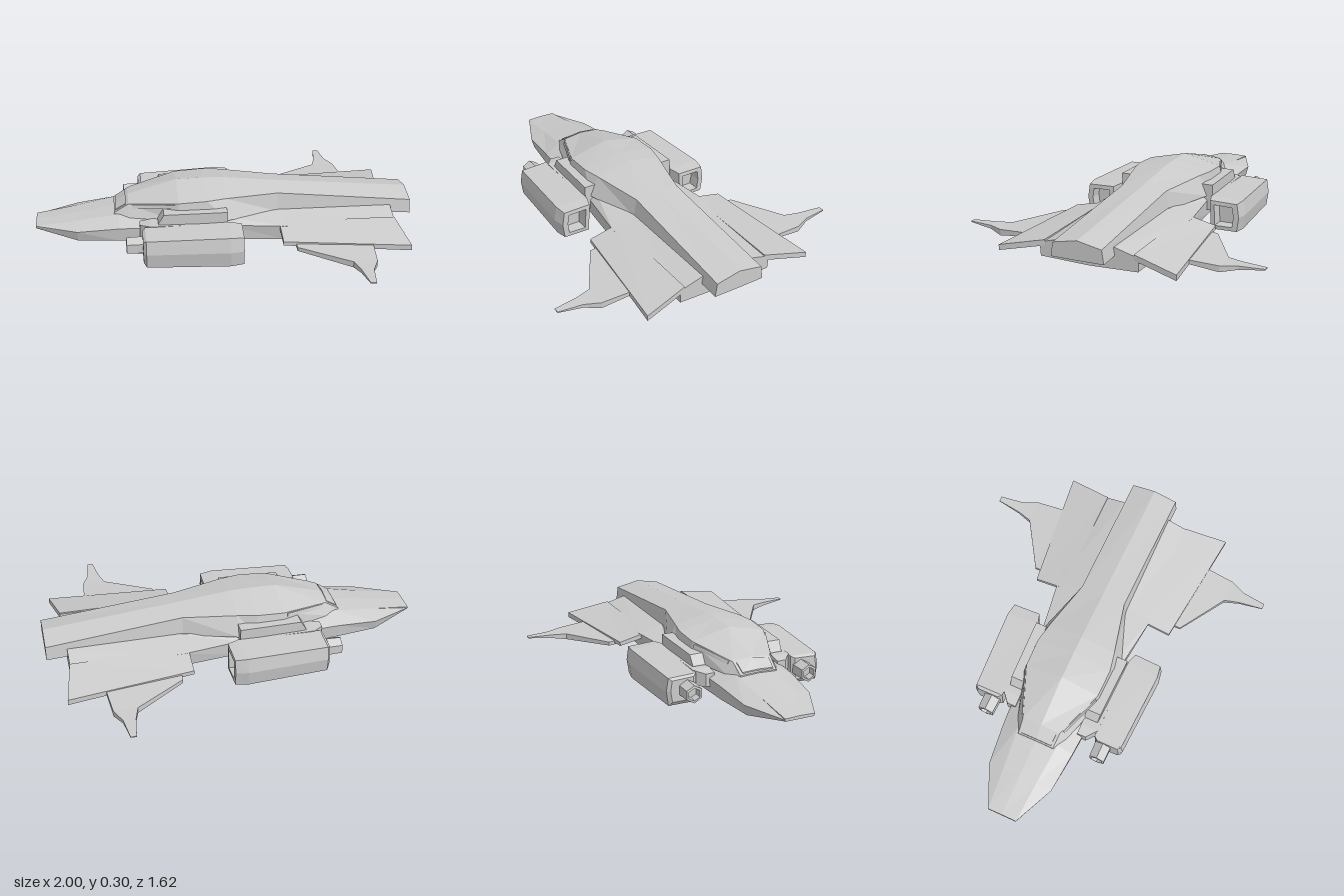
import * as THREE from 'three';

const material = new THREE.MeshStandardMaterial({ color: 0xcccccc, flatShading: true, side: THREE.DoubleSide });

// Skin a row of equal-sized rings of [x, y, z] points and cap both ends; side -1 mirrors in z.
function loft(name, rings, side = 1) {
  const R = rings.map(r => {
    const q = r.map(([x, y, z]) => new THREE.Vector3(x, y, z * side));
    return side < 0 ? q.reverse() : q;
  });
  const pos = [];
  const tri = (...v) => v.forEach(p => pos.push(p.x, p.y, p.z));
  const n = R[0].length;
  for (let i = 0; i < R.length - 1; i++) {
    for (let j = 0; j < n; j++) {
      const k = (j + 1) % n;
      tri(R[i][j], R[i][k], R[i + 1][k]);
      tri(R[i][j], R[i + 1][k], R[i + 1][j]);
    }
  }
  const first = R[0], last = R[R.length - 1];
  for (let j = 1; j < n - 1; j++) {
    tri(first[0], first[j + 1], first[j]);
    tri(last[0], last[j], last[j + 1]);
  }
  const geo = new THREE.BufferGeometry();
  geo.setAttribute('position', new THREE.Float32BufferAttribute(pos, 3));
  geo.computeVertexNormals();
  const mesh = new THREE.Mesh(geo, material);
  mesh.name = name;
  return mesh;
}

// Symmetric ring at x: ridge height, keel height and the [z, y] corners between them.
function symmetricRing(x, ridge, keel, corners) {
  return [
    [x, ridge, 0],
    ...corners.map(([z, y]) => [x, y, z]),
    [x, keel, 0],
    ...corners.slice().reverse().map(([z, y]) => [x, y, -z]),
  ];
}

function hexRing(x, r) {
  return Array.from({ length: 6 }, (_, i) => {
    const a = i * Math.PI / 3;
    return [x, 0.085 + r * Math.cos(a), 0.325 + r * Math.sin(a)];
  });
}

// Five-sided pod section: inner z, outer z, bottom, top.
function podRing(x, zi, zo, y0, y1, skew = 0) {
  const bulge = (zo - zi) * 0.07;
  return [
    [x + skew, y1, zi], [x, y1 - 0.005, zo - bulge], [x, (y0 + y1) / 2, zo],
    [x, y0, zo - bulge], [x + skew, y0, zi + 0.005],
  ];
}

export function createModel() {
  const ship = new THREE.Group();
  ship.name = 'spaceship';

  // Broad lower hull, nose to stern
  ship.add(loft('lowerHull', [
    symmetricRing(-1.0, 0.1, 0.083, [[0.08, 0.097], [0.08, 0.091], [0.075, 0.083]]),
    symmetricRing(-0.78, 0.133, 0.037, [[0.095, 0.127], [0.18, 0.1], [0.165, 0.045]]),
    symmetricRing(-0.56, 0.168, 0.036, [[0.115, 0.162], [0.202, 0.12], [0.195, 0.047]]),
    symmetricRing(0, 0.165, 0.035, [[0.2, 0.162], [0.238, 0.13], [0.235, 0.048]]),
    symmetricRing(0.3, 0.165, 0.034, [[0.14, 0.16], [0.28, 0.13], [0.268, 0.048]]),
    symmetricRing(0.89, 0.155, 0.042, [[0.14, 0.155], [0.266, 0.12], [0.262, 0.05]]),
  ]));

  // Raised cabin running back into the tail spine
  ship.add(loft('upperFuselage', [
    symmetricRing(-0.585, 0.17, 0.15, [[0.1, 0.166], [0.105, 0.15]]),
    symmetricRing(-0.51, 0.226, 0.15, [[0.105, 0.214], [0.14, 0.152]]),
    symmetricRing(-0.25, 0.3, 0.15, [[0.207, 0.252], [0.225, 0.155]]),
    symmetricRing(-0.1, 0.302, 0.15, [[0.21, 0.26], [0.23, 0.155]]),
    symmetricRing(0, 0.299, 0.15, [[0.19, 0.262], [0.235, 0.155]]),
    symmetricRing(0.28, 0.27, 0.14, [[0.125, 0.25], [0.14, 0.15]]),
    symmetricRing(1.0, 0.204, 0.105, [[0.13, 0.178], [0.14, 0.106]]),
  ]));

  // Raised windscreen pane
  ship.add(loft('windscreen', [
    symmetricRing(-0.578, 0.182, 0.17, [[0.085, 0.178], [0.085, 0.166]]),
    symmetricRing(-0.522, 0.224, 0.21, [[0.09, 0.213], [0.09, 0.198]]),
  ]));

  for (const side of [1, -1]) {
    const half = new THREE.Group();
    half.name = side > 0 ? 'leftHalf' : 'rightHalf';
    ship.add(half);

    // Side window strip
    half.add(loft('sideWindow', [
      [[-0.49, 0.216, 0.11], [-0.49, 0.216, 0.119], [-0.49, 0.198, 0.126], [-0.49, 0.198, 0.11]],
      [[-0.27, 0.245, 0.19], [-0.27, 0.245, 0.207], [-0.27, 0.225, 0.211], [-0.27, 0.225, 0.19]],
    ], side));

    // Engine pod with a recessed rear opening
    half.add(loft('enginePod', [
      podRing(-0.445, 0.29, 0.415, 0.025, 0.145),
      podRing(-0.43, 0.27, 0.433, 0.004, 0.156),
      podRing(0, 0.268, 0.457, 0, 0.165, 0.015),
      podRing(0.068, 0.285, 0.445, 0.004, 0.16, 0.004),
      podRing(0.07, 0.308, 0.415, 0.025, 0.138, 0.004),
      podRing(0.01, 0.312, 0.41, 0.028, 0.134),
    ], side));

    // Hollow hexagonal muzzle at the front of the pod
    half.add(loft('podMuzzle', [
      hexRing(-0.49, 0.03), hexRing(-0.53, 0.034), hexRing(-0.528, 0.047), hexRing(-0.43, 0.05),
    ], side));

    // Pylons joining pod and hull
    const pylonRing = (x, zi, zo, y0, y1) => [[x, y1, zi], [x, y1, zo], [x, y0, zo], [x, y0, zi]];
    half.add(loft('upperPylon', [
      pylonRing(-0.36, 0.18, 0.255, 0.15, 0.165),
      pylonRing(-0.33, 0.18, 0.258, 0.15, 0.215),
      pylonRing(0, 0.18, 0.268, 0.15, 0.22),
    ], side));
    half.add(loft('lowerPylon', [
      pylonRing(-0.455, 0.18, 0.228, 0.08, 0.15),
      pylonRing(-0.4, 0.18, 0.275, 0.08, 0.16),
      pylonRing(0, 0.18, 0.275, 0.08, 0.16),
    ], side));

    // Swept wing slab
    half.add(loft('wing', [
      [[0.275, 0.138, 0.24], [0.275, 0.103, 0.4], [0.275, 0.082, 0.4], [0.275, 0.112, 0.24]],
      [[0.89, 0.135, 0.24], [0.93, 0.087, 0.475], [0.93, 0.058, 0.475], [0.89, 0.105, 0.24]],
    ], side));

    // Pointed outer fin: z, leading x, trailing x, bottom, top
    const fin = [
      [0.4, 0.34, 0.735, 0.072, 0.092],
      [0.44, 0.342, 0.735, 0.068, 0.088],
      [0.6, 0.6, 0.722, 0.046, 0.078],
      [0.68, 0.622, 0.686, 0.058, 0.077],
      [0.81, 0.64, 0.67, 0.071, 0.076],
    ];
    half.add(loft('fin', fin.map(([z, a, b, y0, y1]) =>
      [[b, y0, z], [b, y1, z], [a, y1, z], [a, y0, z]]), side));
  }
  return ship;
}
